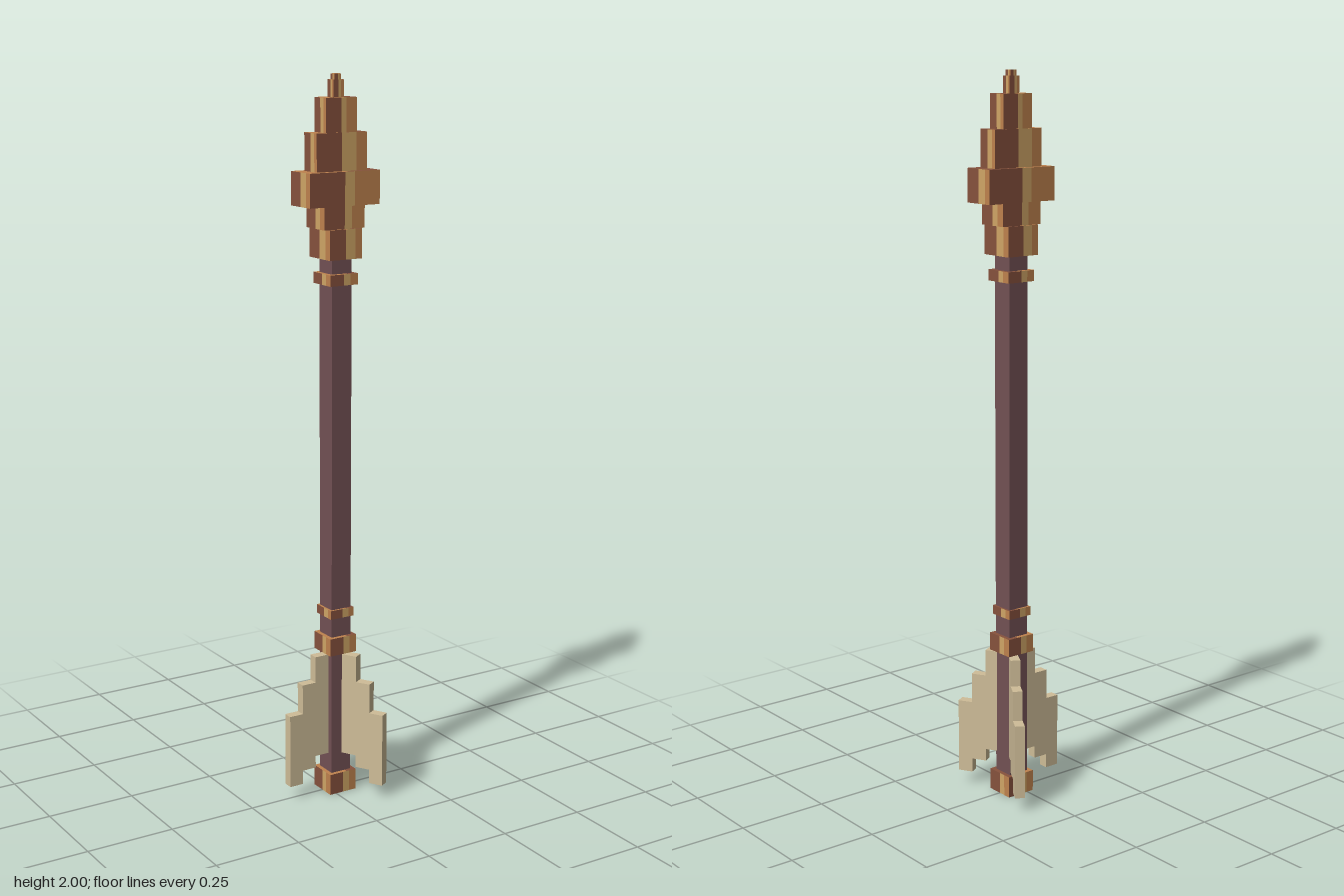
import * as THREE from 'three';
import { mergeGeometries } from 'three/addons/utils/BufferGeometryUtils.js';

const AXIS = 0.0225; // the shaft sits slightly off centre because of the feathers

export function createModel() {
  const mat = (name, color) => {
    const m = new THREE.MeshStandardMaterial({ color });
    m.name = name;
    return m;
  };
  const darkBronze = mat('darkBronze', 0x87523d);
  const bronze = mat('bronze', 0xbf824e);
  const paleBronze = mat('paleBronze', 0xd0a666);
  const wood = mat('wood', 0x735154);
  const feather = mat('feather', 0xcfbd98);

  const model = new THREE.Group();
  model.name = 'arrow';
  const arrow = new THREE.Group();
  arrow.name = 'arrowBody';
  arrow.position.x = AXIS;
  model.add(arrow);

  // Metal block: every side is dark on its left, pale in the middle, bronze on its right
  function metalBlock(name, w, d, y0, y1, streak = 0.02) {
    const h = y1 - y0;
    const parts = [];
    const mats = [];
    const addFace = (span, height, dist, colors, rotate) => {
      const end = Math.min(streak, span * 0.3);
      const cuts = colors.length === 3 ? [-span / 2, 0, end, span / 2] : [-span / 2, 0.012, span / 2];
      colors.forEach((color, i) => {
        const strip = new THREE.PlaneGeometry(cuts[i + 1] - cuts[i], height);
        strip.translate((cuts[i] + cuts[i + 1]) / 2, 0, dist);
        rotate(strip);
        parts.push(strip);
        mats.push(color);
      });
    };
    for (let i = 0; i < 4; i++) {
      const [span, depth] = i % 2 ? [d, w] : [w, d];
      addFace(span, h, depth / 2, [darkBronze, paleBronze, bronze], g => g.rotateY(i * Math.PI / 2));
    }
    addFace(w, d, h / 2, [bronze, darkBronze], g => g.rotateX(-Math.PI / 2));
    addFace(w, d, h / 2, [bronze, darkBronze], g => g.rotateX(Math.PI / 2));
    const mesh = new THREE.Mesh(mergeGeometries(parts, true), mats);
    mesh.name = name;
    mesh.position.y = (y0 + y1) / 2;
    arrow.add(mesh);
  }

  // Shaft
  const shaft = new THREE.Mesh(new THREE.BoxGeometry(0.062, 1.49, 0.062), wood);
  shaft.name = 'shaft';
  shaft.position.y = 0.785;
  arrow.add(shaft);

  // Stepped head: width, depth, bottom, top, pale streak
  [
    [0.1, 0.102, 1.52, 1.6, 0.03],
    [0.125, 0.09, 1.6, 1.66, 0.022],
    [0.217, 0.094, 1.66, 1.75, 0.03],
    [0.155, 0.062, 1.75, 1.85, 0.045],
    [0.095, 0.056, 1.85, 1.94, 0.015],
    [0.032, 0.028, 1.94, 1.985, 0.008],
    [0.02, 0.02, 1.985, 2.0, 0.005],
  ].forEach((tier, i) => metalBlock('headTier' + (i + 1), ...tier));

  // Rings and tail
  metalBlock('upperRing', 0.086, 0.086, 1.45, 1.48);
  metalBlock('thinRing', 0.074, 0.074, 0.52, 0.545);
  metalBlock('lowerRing', 0.085, 0.085, 0.415, 0.465);
  metalBlock('tailBlock', 0.085, 0.085, 0, 0.06);

  // Three stepped feathers around the shaft: inner radius, outer radius, bottom, top
  const steps = [
    [0.02, 0.073, 0.115, 0.41],
    [0.073, 0.115, 0.08, 0.335],
    [0.115, 0.156, 0.04, 0.25],
  ];
  for (let k = 0; k < 3; k++) {
    const vane = new THREE.Group();
    vane.name = 'feather' + (k + 1);
    vane.rotation.y = Math.PI + k * Math.PI * 2 / 3;
    steps.forEach(([r0, r1, y0, y1], i) => {
      const piece = new THREE.Mesh(new THREE.BoxGeometry(r1 - r0, y1 - y0, 0.027), feather);
      piece.name = 'featherStep' + (i + 1);
      piece.position.set((r0 + r1) / 2, (y0 + y1) / 2, 0);
      vane.add(piece);
    });
    arrow.add(vane);
  }
  return model;
}
